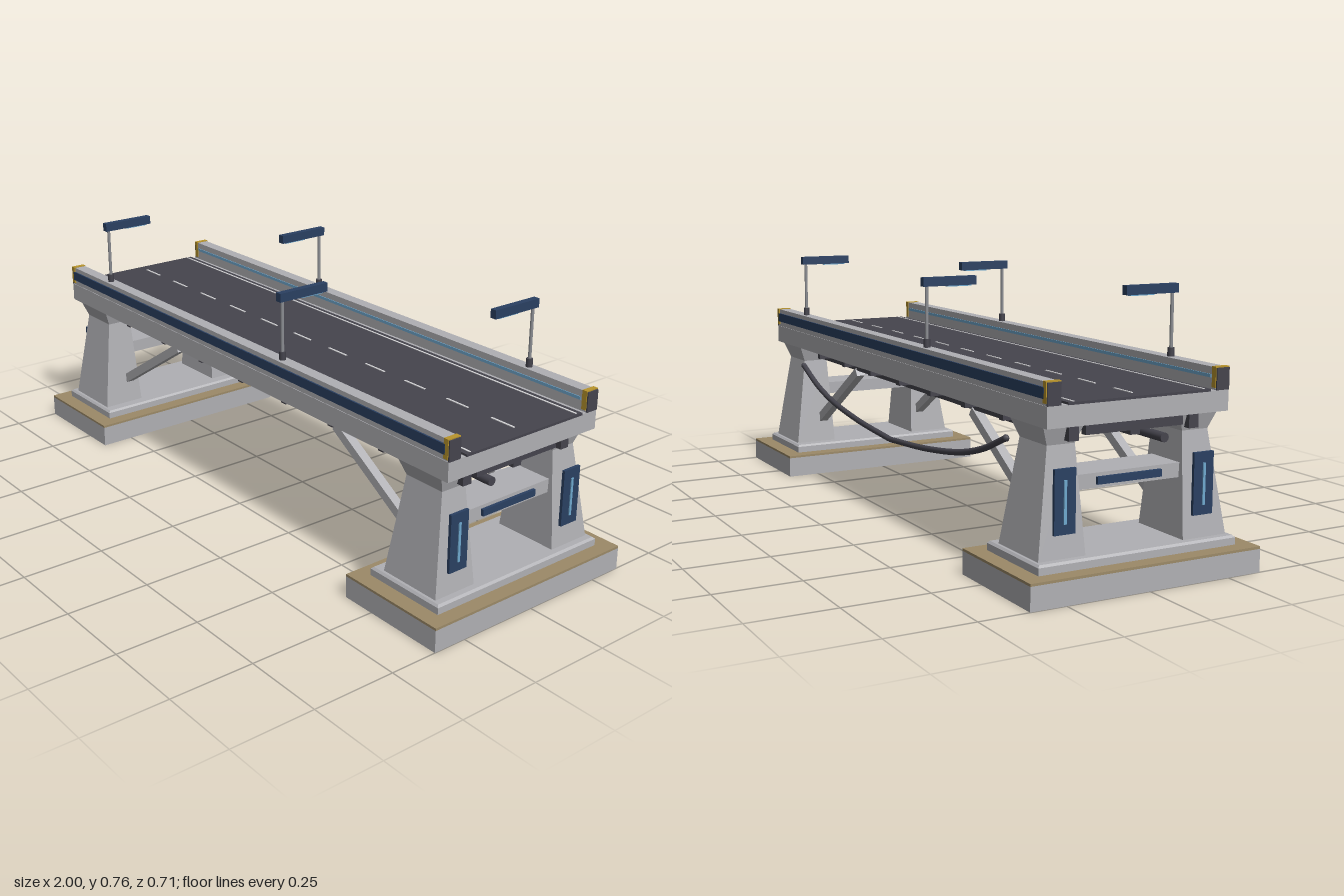
import * as THREE from 'three';

const mat = (name, color) => {
  const m = new THREE.MeshStandardMaterial({ color });
  m.name = name;
  return m;
};

export function createModel() {
  const concrete = mat('concrete', 0xb0b0b4);
  const dark = mat('asphalt and dark steel', 0x45444d);
  const navy = mat('navy paint', 0x2a4062);
  const blue = mat('light blue strip', 0x6fa9cf);
  const gold = mat('hazard gold', 0xb8942c);
  const sand = mat('sandy trim', 0x9c8a68);
  const white = mat('road paint', 0xd6d6d8);
  const metal = mat('pole metal', 0x8d8f94);

  const model = new THREE.Group();
  model.name = 'bridge';
  const add = (name, geometry, material, parent = model) => {
    const mesh = new THREE.Mesh(geometry, material);
    mesh.name = name;
    parent.add(mesh);
    return mesh;
  };
  // box given by its lower and upper bounds
  const box = (name, m, x0, x1, y0, y1, z0, z1, parent) => {
    const g = new THREE.BoxGeometry(Math.abs(x1 - x0), y1 - y0, Math.abs(z1 - z0));
    const b = add(name, g, m, parent);
    b.position.set((x0 + x1) / 2, (y0 + y1) / 2, (z0 + z1) / 2);
    return b;
  };
  const rod = (name, m, r, y0, y1, x, z, sides = 10) => {
    const c = add(name, new THREE.CylinderGeometry(r, r, y1 - y0, sides), m);
    c.position.set(x, (y0 + y1) / 2, z);
    return c;
  };
  // rectangular loft; each section is [y, x0, x1, z0, z1]
  const loft = (sections) => {
    const pos = [];
    const rings = sections.map(([y, x0, x1, z0, z1]) =>
      [[x0, y, z1], [x1, y, z1], [x1, y, z0], [x0, y, z0]]);
    const quad = (a, b, c, d) => pos.push(...a, ...b, ...c, ...a, ...c, ...d);
    for (let i = 0; i < rings.length - 1; i++)
      for (let k = 0; k < 4; k++) {
        const n = (k + 1) % 4;
        quad(rings[i][k], rings[i][n], rings[i + 1][n], rings[i + 1][k]);
      }
    const t = rings[rings.length - 1], b = rings[0];
    quad(t[0], t[1], t[2], t[3]);
    quad(b[3], b[2], b[1], b[0]);
    const g = new THREE.BufferGeometry();
    g.setAttribute('position', new THREE.Float32BufferAttribute(pos, 3));
    g.computeVertexNormals();
    return g;
  };

  // deck, road surface and markings
  box('deck', concrete, -0.943, 0.943, 0.437, 0.494, -0.278, 0.278);
  box('road', dark, -0.946, 0.946, 0.493, 0.5, -0.218, 0.218);
  for (let i = -5; i <= 5; i++)
    box('centreDash', white, i * 0.172 - 0.042, i * 0.172 + 0.042, 0.499, 0.502, -0.003, 0.003);
  for (const s of [-1, 1])
    box('edgeLine', white, -0.94, 0.94, 0.499, 0.5015, s * 0.197, s * 0.203);

  // side barriers with painted bands and hazard ends
  for (const s of [-1, 1]) {
    box('barrier', concrete, -0.938, 0.938, 0.494, 0.554, s * 0.238, s * 0.276);
    box('outerBand', navy, -0.93, 0.93, 0.511, 0.54, s * 0.275, s * 0.281);
    box('innerStrip', blue, -0.92, 0.92, 0.525, 0.534, s * 0.2355, s * 0.239);
    for (const e of [-1, 1]) {
      box('hazardEnd', gold, e * 0.925, e * 0.941, 0.5, 0.556, s * 0.236, s * 0.28);
      box('endPlate', dark, e * 0.94, e * 0.945, 0.494, 0.553, s * 0.238, s * 0.278);
    }
  }

  // street lamps, alternating sides
  for (const [x, s] of [[-0.715, 1], [-0.238, -1], [0.235, 1], [0.71, -1]]) {
    rod('lampBase', dark, 0.01, 0.553, 0.579, x, s * 0.257);
    rod('lampPole', metal, 0.005, 0.575, 0.735, x, s * 0.257);
    box('lampHead', navy, x - 0.01, x + 0.01, 0.73, 0.756, s * 0.1, s * 0.271);
    box('lampPanel', blue, x - 0.007, x + 0.007, 0.727, 0.731, s * 0.115, s * 0.193);
  }

  // steel frame under the deck
  for (const z of [-0.185, 0, 0.185])
    box('girder', dark, -0.92, 0.92, 0.395, 0.438, z - 0.015, z + 0.015);
  for (let i = -3; i <= 3; i++) {
    const x = i * 0.215;
    box('crossBeam', dark, x - 0.011, x + 0.011, 0.407, 0.438, -0.24, 0.24);
    box('pipeHanger', dark, x - 0.01, x + 0.01, 0.373, 0.41, 0.076, 0.11);
  }
  box('endSoffit', dark, -0.92, -0.9, 0.407, 0.438, -0.15, 0.15);
  box('endSoffit', dark, 0.9, 0.92, 0.407, 0.438, -0.15, 0.15);
  const pipe = add('servicePipe', new THREE.CylinderGeometry(0.013, 0.013, 1.84, 12), dark);
  pipe.rotation.z = Math.PI / 2;
  pipe.position.set(0, 0.378, 0.093);

  // sagging cable in two spans at the back
  for (const s of [-1, 1]) {
    const curve = new THREE.CatmullRomCurve3([
      [0.72, 0.375], [0.6, 0.325], [0.47, 0.29], [0.25, 0.259], [0, 0.241],
    ].map(([x, y]) => new THREE.Vector3(s * x, y, -0.267)));
    add('hangingCable', new THREE.TubeGeometry(curve, 24, 0.009, 8), dark);
    const end = add('cableEnd', new THREE.SphereGeometry(0.01, 8, 6), dark);
    end.position.set(s * 0.72, 0.375, -0.267);
  }

  // piers at both ends
  for (const e of [-1, 1]) {
    const pier = new THREE.Group();
    pier.name = e > 0 ? 'leftPier' : 'rightPier';
    model.add(pier);
    const range = (a, b) => (e > 0 ? [a, b] : [-b, -a]);
    box('footing', concrete, e * 0.645, e * 1, 0, 0.065, -0.355, 0.355, pier);
    box('footingTrim', sand, e * 0.645, e * 1, 0.065, 0.072, -0.355, 0.355, pier);
    add('plinth', loft([
      [0.072, ...range(0.69, 0.955), -0.306, 0.306],
      [0.092, ...range(0.69, 0.955), -0.306, 0.306],
      [0.098, ...range(0.696, 0.949), -0.3, 0.3],
    ]), concrete, pier);
    box('tieBeam', concrete, e * 0.77, e * 0.893, 0.26, 0.3, -0.17, 0.17, pier);
    box('tiePlate', navy, e * 0.892, e * 0.902, 0.27, 0.29, -0.1, 0.1, pier);

    for (const s of [-1, 1]) {
      const zr = (a, b) => (s > 0 ? [a, b] : [-b, -a]);
      add('column', loft([
        [0.097, ...range(0.728, 0.93), ...zr(0.152, 0.292)],
        [0.385, ...range(0.76, 0.895), ...zr(0.166, 0.249)],
        [0.438, ...range(0.743, 0.912), ...zr(0.148, 0.27)],
      ]), concrete, pier);
      box('columnPlate', navy, e * 0.921, e * 0.93, 0.16, 0.33, s * 0.183, s * 0.246, pier);
      box('columnLight', blue, e * 0.929, e * 0.933, 0.187, 0.301, s * 0.211, s * 0.219, pier);

      // diagonal brace from column to girder
      const a = new THREE.Vector2(0.76, 0.17), b = new THREE.Vector2(0.405, 0.39);
      const brace = add('brace', new THREE.BoxGeometry(a.distanceTo(b), 0.028, 0.028), concrete, pier);
      brace.position.set(e * (a.x + b.x) / 2, (a.y + b.y) / 2, s * 0.19);
      brace.rotation.z = e * Math.atan2(b.y - a.y, b.x - a.x);
    }
  }
  return model;
}
